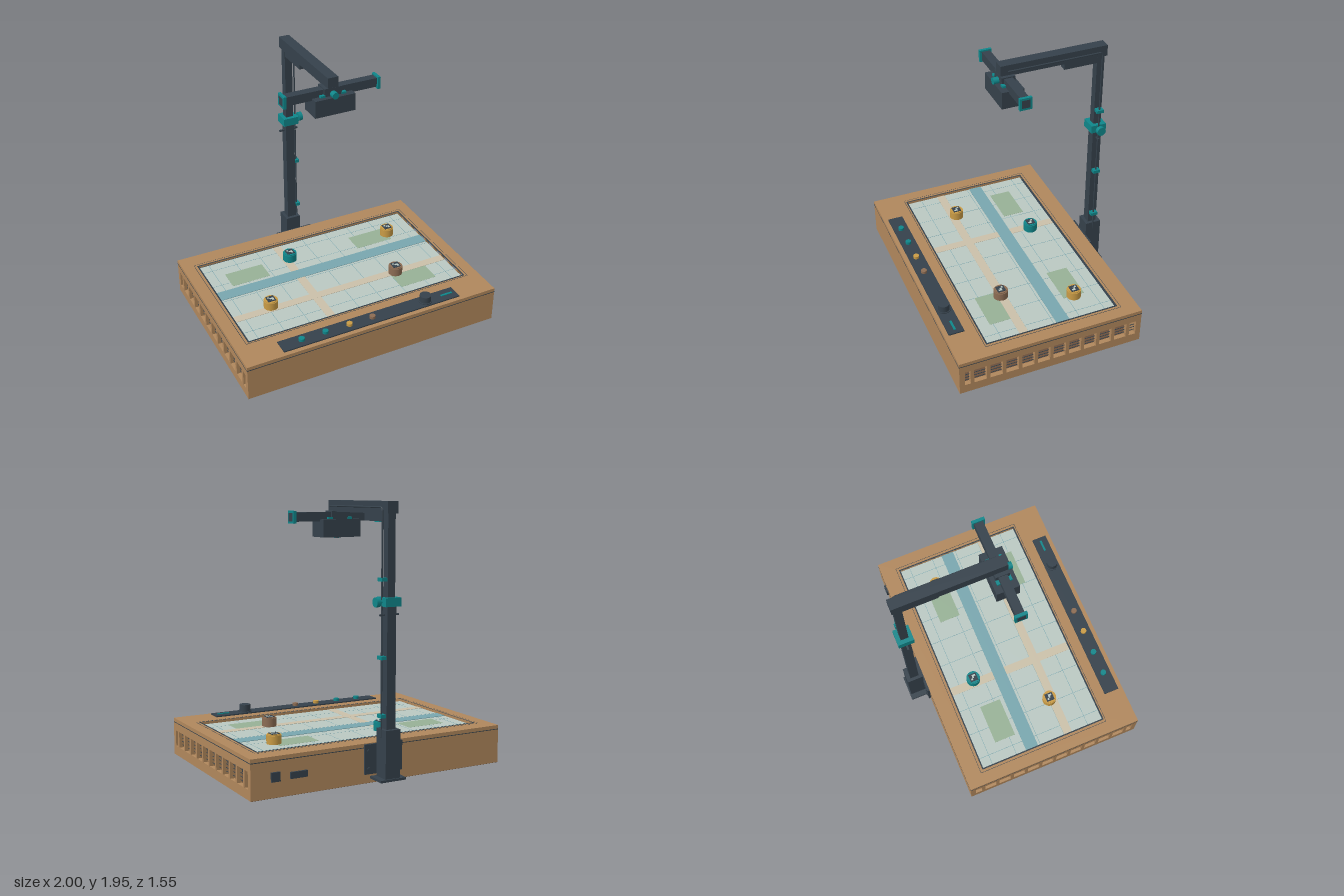
import * as THREE from 'three';

const mat = (name, color, opts = {}) => Object.assign(new THREE.MeshStandardMaterial({ color, ...opts }), { name });
const M = {
  wood: mat('wood', 0xb0875c), base: mat('dark wood', 0x6b503b), dark: mat('slate', 0x35414b),
  teal: mat('teal', 0x0f868a), gold: mat('gold', 0xc99b45), brown: mat('brown', 0x8c6c53),
  screen: mat('pale screen', 0xbac8c2), green: mat('park green', 0x97b196),
  blue: mat('river blue', 0x78a6ae), tan: mat('road tan', 0xcac0a9),
};

export function createModel() {
  const root = new THREE.Group();
  let parent = root;
  const group = (name) => {
    parent = new THREE.Group();
    parent.name = name;
    root.add(parent);
    return parent;
  };
  const add = (name, geo, m) => {
    const mesh = new THREE.Mesh(geo, m);
    mesh.name = name;
    parent.add(mesh);
    return mesh;
  };
  // box given by its extents along each axis
  const box = (name, m, x0, x1, y0, y1, z0, z1) =>
    add(name, new THREE.BoxGeometry(x1 - x0, y1 - y0, z1 - z0)
      .translate((x0 + x1) / 2, (y0 + y1) / 2, (z0 + z1) / 2), m);
  // cylinder centred on a point, along the given axis
  const cyl = (name, m, r, h, x, y, z, axis = 'y', seg = 32) => {
    const g = new THREE.CylinderGeometry(r, r, h, seg);
    if (axis === 'x') g.rotateZ(Math.PI / 2);
    if (axis === 'z') g.rotateX(Math.PI / 2);
    return add(name, g.translate(x, y, z), m);
  };
  // flat rectangular frame: outer extents and the opening
  const frame = (name, m, o, i, y0, y1) => {
    const s = new THREE.Shape([[o[0], -o[2]], [o[1], -o[2]], [o[1], -o[3]], [o[0], -o[3]]].map(p => new THREE.Vector2(...p)));
    s.holes.push(new THREE.Path([[i[0], -i[2]], [i[1], -i[2]], [i[1], -i[3]], [i[0], -i[3]]].map(p => new THREE.Vector2(...p))));
    const g = new THREE.ExtrudeGeometry(s, { depth: y1 - y0, bevelEnabled: false });
    return add(name, g.rotateX(-Math.PI / 2).translate(0, y0, 0), m);
  };

  // Hollow wooden cabinet
  group('cabinet');
  box('bottomPanel', M.base, -0.995, 0.995, 0.022, 0.035, -0.625, 0.765);
  box('frontWall', M.wood, -1, 1, 0.025, 0.275, 0.73, 0.77);
  box('backWall', M.wood, -1, 1, 0.025, 0.275, -0.63, -0.59);
  frame('topFrame', M.wood, [-1, 1, -0.63, 0.77], [-0.89, 0.89, -0.488, 0.528], 0.275, 0.305);
  frame('topSeam', M.dark, [-1.001, 1.001, -0.631, 0.771], [-0.99, 0.99, -0.62, 0.76], 0.273, 0.278);
  frame('topGroove', M.dark, [-0.911, 0.911, -0.509, 0.541], [-0.908, 0.908, -0.506, 0.538], 0.303, 0.306);
  for (const s of [-1, 1]) {
    const a = Math.min(s, s * 0.965), b = Math.max(s, s * 0.965);
    box('sideTopRail', M.wood, a, b, 0.215, 0.275, -0.59, 0.73);
    box('sideBottomRail', M.wood, a, b, 0.025, 0.095, -0.59, 0.73);
    for (let k = 0; k < 11; k++) {
      const z = 0.675 - 0.12 * k;
      box('ventPost', M.wood, a, b, 0.095, 0.215, z - 0.013, z + 0.013);
    }
    for (let k = 0; k < 4; k++) {
      const y = 0.115 + 0.025 * k;
      box('ventWire', M.dark, s * 0.975 - 0.002, s * 0.975 + 0.002, y, y + 0.003, -0.59, 0.73);
    }
    for (const z of [-0.49, 0.635]) box('foot', M.dark, s * 0.855 - 0.075, s * 0.855 + 0.075, 0, 0.024, z - 0.055, z + 0.055);
  }
  box('displayHousing', M.dark, -0.88, 0.88, 0.11, 0.265, -0.515, 0.545);
  box('controlBoard', M.teal, -0.65, 0.65, 0.19, 0.205, 0.635, 0.725);
  box('squarePort', M.dark, 0.79, 0.855, 0.135, 0.2, -0.645, -0.625);
  box('widePort', M.dark, 0.59, 0.715, 0.14, 0.185, -0.645, -0.625);

  // Map display, recessed inside a dark bezel
  group('mapDisplay');
  frame('bezel', M.dark, [-0.89, 0.89, -0.488, 0.528], [-0.88, 0.88, -0.478, 0.518], 0.265, 0.307);
  box('screen', M.screen, -0.88, 0.88, 0.265, 0.287, -0.48, 0.52);
  const patch = (name, m, x0, x1, z0, z1, top) => box(name, m, x0, x1, 0.286, top, z0, z1);
  for (let k = -4; k <= 4; k++) patch('gridLine', M.blue, k * 0.2 - 0.0015, k * 0.2 + 0.0015, -0.478, 0.518, 0.2876);
  for (let k = -2; k <= 2; k++) patch('gridLine', M.blue, -0.88, 0.88, k * 0.2 - 0.0015, k * 0.2 + 0.0015, 0.2876);
  patch('park', M.green, -0.73, -0.425, -0.315, -0.15, 0.288);
  patch('park', M.green, 0.345, 0.65, -0.34, -0.175, 0.288);
  patch('park', M.green, 0.4, 0.7, 0.26, 0.425, 0.288);
  patch('crossRoad', M.tan, -0.26, -0.195, -0.478, 0.518, 0.289);
  patch('longRoad', M.tan, -0.88, 0.88, 0.2, 0.265, 0.2895);
  patch('river', M.blue, -0.88, 0.88, -0.12, -0.02, 0.2905);

  // Round tokens with a checkered marker on top
  for (const [m, x, z] of [[M.teal, -0.2, -0.28], [M.gold, 0.65, -0.255], [M.gold, -0.575, 0.205], [M.brown, 0.45, 0.24]]) {
    group('token');
    cyl('tokenBody', m, 0.053, 0.062, x, 0.319, z);
    cyl('tokenRim', m, 0.047, 0.008, x, 0.353, z);
    box('markerPlate', M.dark, x - 0.031, x + 0.031, 0.354, 0.36, z - 0.031, z + 0.031);
    for (const [i, j] of [[-1, -1], [0, 0], [1, 1], [1, 0]]) {
      const cx = x + i * 0.014, cz = z + j * 0.014;
      box('markerCell', M.screen, cx - 0.007, cx + 0.007, 0.356, 0.3615, cz - 0.007, cz + 0.007);
    }
  }

  // Control strip along the front edge
  group('controlStrip');
  box('stripPlate', M.dark, -0.71, 0.71, 0.304, 0.314, 0.62, 0.737);
  [[M.teal, -0.55], [M.teal, -0.365], [M.gold, -0.175], [M.brown, 0.01]].forEach(([m, x]) =>
    cyl('button', m, 0.022, 0.022, x, 0.324, 0.68, 'y', 16));
  cyl('knobBase', M.dark, 0.05, 0.008, 0.45, 0.317, 0.68);
  cyl('knob', M.dark, 0.042, 0.055, 0.45, 0.342, 0.68);
  box('slider', M.teal, 0.585, 0.68, 0.312, 0.319, 0.672, 0.688);

  // Rear bracket and telescopic column
  group('column');
  box('mountPlate', M.dark, -0.15, 0.15, 0.09, 0.3, -0.647, -0.629);
  for (const x of [-0.12, 0.12]) for (const y of [0.13, 0.255]) cyl('mountBolt', M.dark, 0.012, 0.01, x, y, -0.65, 'z', 12);
  box('bracketFoot', M.dark, -0.1, 0.1, 0.055, 0.072, -0.775, -0.63);
  box('socket', M.dark, -0.058, 0.058, 0.06, 0.41, -0.765, -0.643);
  box('lowerPost', M.dark, -0.035, 0.035, 0.4, 1.28, -0.736, -0.668);
  box('upperPost', M.dark, -0.029, 0.029, 1.28, 1.9, -0.73, -0.672);
  box('stopPin', M.dark, -0.075, 0.075, 1.185, 1.197, -0.707, -0.693);
  box('clamp', M.teal, -0.06, 0.06, 1.25, 1.31, -0.76, -0.642);
  cyl('clampScrew', M.teal, 0.012, 0.04, 0.07, 1.28, -0.7, 'x', 16);
  cyl('clampKnob', M.teal, 0.034, 0.03, 0.095, 1.28, -0.7, 'x', 16);

  // Overhead arm
  group('arm');
  box('armBeam', M.dark, -0.04, 0.04, 1.866, 1.948, -0.745, 0.067);
  box('armBrace', M.dark, -0.026, 0.026, 1.813, 1.868, -0.675, -0.42);

  // Cable with its clips
  group('cable');
  const path = new THREE.CurvePath();
  const v = (y, z) => new THREE.Vector3(0.056, y, z);
  path.add(new THREE.LineCurve3(v(0.35, -0.7), v(1.89, -0.7)));
  path.add(new THREE.QuadraticBezierCurve3(v(1.89, -0.7), v(1.908, -0.7), v(1.908, -0.68)));
  path.add(new THREE.LineCurve3(v(1.908, -0.68), v(1.908, 0.02)));
  add('cableRun', new THREE.TubeGeometry(path, 120, 0.006, 8), M.dark);
  for (const y of [0.502, 0.902, 1.43]) box('cableClip', M.teal, 0.028, 0.075, y - 0.012, y + 0.012, -0.727, -0.673);

  // Projector head hanging under the crossbar
  group('projectorHead');
  box('crossbar', M.dark, -0.355, 0.355, 1.798, 1.864, -0.013, 0.05);
  for (const s of [-1, 1]) {
    box('crossbarCap', M.teal, s * 0.361 - 0.011, s * 0.361 + 0.011, 1.785, 1.875, -0.025, 0.065);
    box('capInset', M.dark, s * 0.371 - 0.002, s * 0.371 + 0.002, 1.8, 1.86, -0.01, 0.05);
    box('mountTab', M.teal, s * 0.08 - 0.018, s * 0.08 + 0.018, 1.81, 1.828, -0.035, 0.075);
  }
  box('mountBlock', M.dark, -0.066, 0.066, 1.81, 1.872, -0.033, 0.068);
  cyl('tiltKnob', M.teal, 0.025, 0.045, 0, 1.826, 0.087, 'z', 20);
  box('projectorBody', M.dark, -0.154, 0.154, 1.685, 1.813, -0.062, 0.104);
  cyl('lensRing', M.dark, 0.03, 0.01, 0, 1.683, 0.02);
  cyl('lens', M.teal, 0.018, 0.004, 0, 1.677, 0.02);

  return root;
}
